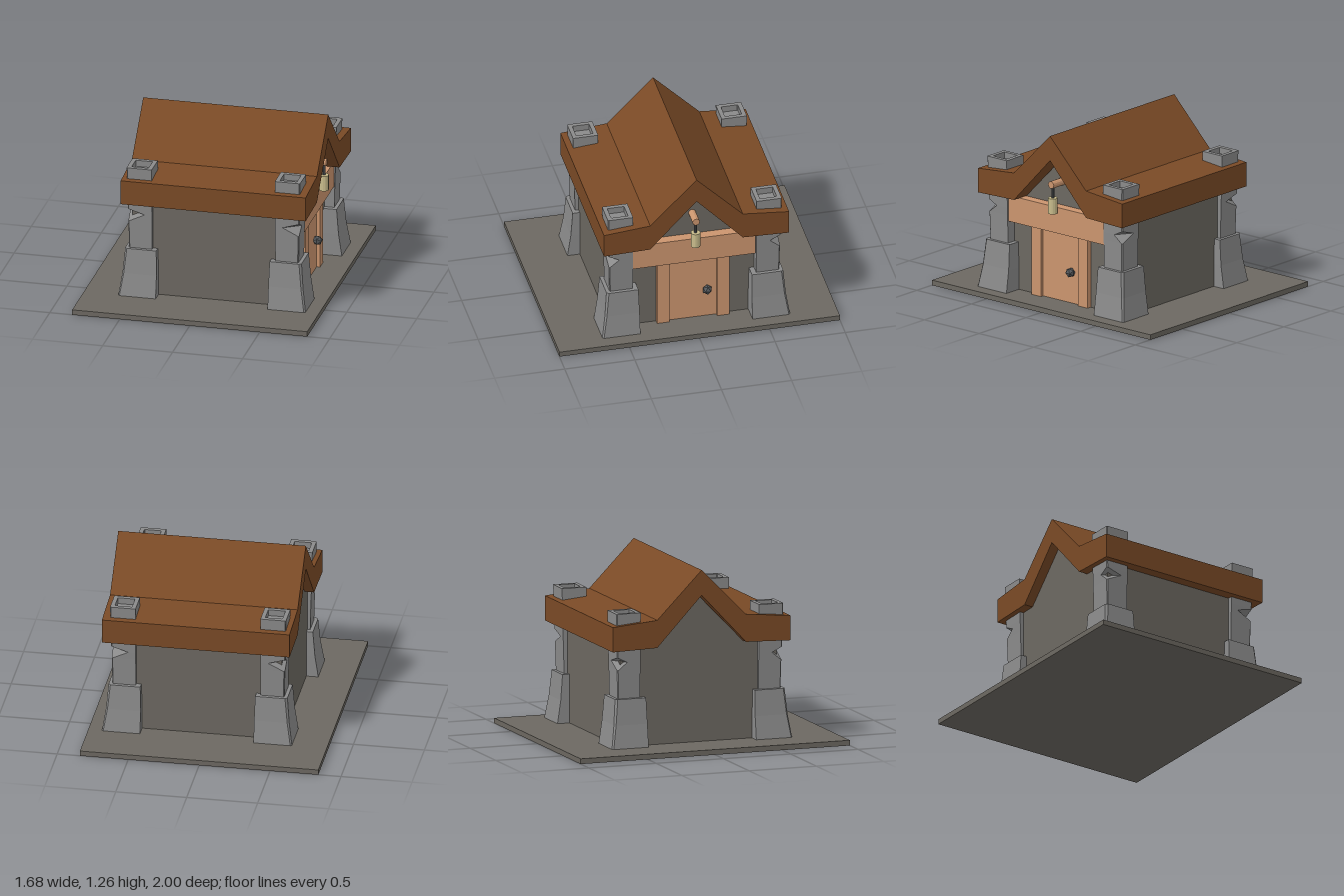
import * as THREE from 'three';

const paint = (color) => new THREE.MeshStandardMaterial({ color, flatShading: true });
const STONE = paint(0x8a8a8a), WALL = paint(0x6c6861), ROOF = paint(0x7a4a26);
const WOOD = paint(0xcb956e), BRASS = paint(0xc9bd8c), IRON = paint(0x55595c);

function add(group, name, geometry, material, x = 0, y = 0, z = 0) {
  const mesh = new THREE.Mesh(geometry, material);
  mesh.name = name;
  mesh.position.set(x, y, z);
  group.add(mesh);
  return mesh;
}

// Box given by its minimum and maximum corners
function block(group, name, material, [x0, y0, z0], [x1, y1, z1]) {
  return add(group, name, new THREE.BoxGeometry(x1 - x0, y1 - y0, z1 - z0), material,
    (x0 + x1) / 2, (y0 + y1) / 2, (z0 + z1) / 2);
}

// Symmetric (z, y) profile extruded along x from x0 to x1
function alongX(points, x0, x1) {
  const shape = new THREE.Shape(points.map(([z, y]) => new THREE.Vector2(z, y)));
  const geo = new THREE.ExtrudeGeometry(shape, { depth: x1 - x0, bevelEnabled: false });
  return geo.rotateY(Math.PI / 2).translate(x0, 0, 0);
}

// Skin over stacked rings of [x, y, z] points, closed at both ends
function loft(rings, flip) {
  const n = rings[0].length, pos = [], index = [];
  const tri = (a, b, c) => (flip ? index.push(a, c, b) : index.push(a, b, c));
  rings.forEach((ring) => ring.forEach((p) => pos.push(...p)));
  for (let r = 0; r < rings.length - 1; r++) {
    for (let i = 0; i < n; i++) {
      const a = r * n + i, b = r * n + (i + 1) % n;
      tri(a, a + n, b);
      tri(b, a + n, b + n);
    }
  }
  const last = (rings.length - 1) * n;
  for (let i = 1; i < n - 1; i++) {
    tri(0, i, i + 1);
    tri(last, last + i + 1, last + i);
  }
  const geo = new THREE.BufferGeometry();
  geo.setAttribute('position', new THREE.Float32BufferAttribute(pos, 3));
  geo.setIndex(index);
  const flat = geo.toNonIndexed();
  flat.computeVertexNormals();
  return flat;
}

// Square ring whose outer (+x, +z) corner is cut off by cx and cz
const ring = (y, inner, outer, cx, cz, sx, sz) => [
  [inner, inner], [outer, inner], [outer, outer - cz], [outer - cx, outer], [inner, outer],
].map(([x, z]) => [x * sx, y, z * sz]);

function createPillar(sx, sz) {
  const pillar = new THREE.Group();
  const flip = sx * sz < 0;
  const make = (rows) => loft(rows.map((r) => ring(...r, sx, sz)), flip);
  // Flared foot: y, inner, outer, corner cuts
  add(pillar, 'pillarFoot', make([
    [0.03, -0.13, 0.14, 0.01, 0.01],
    [0.2, -0.13, 0.115, 0.012, 0.012],
    [0.38, -0.125, 0.1, 0.015, 0.015],
  ]), STONE);
  // Shaft with a chipped corner and a hollow top
  add(pillar, 'pillarShaft', make([
    [0.37, -0.09, 0.075, 0.006, 0.006],
    [0.58, -0.09, 0.08, 0.006, 0.006],
    [0.635, -0.09, 0.082, 0.12, 0.075],
    [0.67, -0.09, 0.083, 0.006, 0.006],
    [0.98, -0.09, 0.09, 0.006, 0.006],
    [0.98, -0.06, 0.06, 0.006, 0.006],
    [0.935, -0.06, 0.06, 0.006, 0.006],
  ]), STONE);
  return pillar;
}

export function createModel() {
  const model = new THREE.Group();
  model.name = 'stoneHut';

  block(model, 'groundSlab', WALL, [-0.84, 0, -1], [0.84, 0.037, 1]);

  // Walls with gable ends
  add(model, 'walls', alongX([
    [-0.58, 0.03], [0.58, 0.03], [0.58, 0.735], [0.325, 0.735],
    [0, 1.07], [-0.325, 0.735], [-0.58, 0.735],
  ], -0.51, 0.61), WALL);

  // Folded roof: steep middle, nearly flat eaves
  add(model, 'roof', alongX([
    [-0.66, 0.72], [-0.33, 0.73], [0, 1.08], [0.33, 0.73], [0.66, 0.72],
    [0.66, 0.895], [0.33, 0.925], [0, 1.258], [-0.33, 0.925], [-0.66, 0.895],
  ], -0.577, 0.745), ROOF);

  // Corner pillars
  for (const sx of [-1, 1]) {
    for (const sz of [-1, 1]) {
      const pillar = createPillar(sx, sz);
      pillar.name = 'cornerPillar';
      pillar.position.set(0.075 + sx * 0.53, 0, sz * 0.53);
      model.add(pillar);
    }
  }

  // Doorway
  block(model, 'door', WOOD, [0.58, 0.035, -0.175], [0.62, 0.54, 0.175]);
  for (const s of [-1, 1]) {
    const jamb = block(model, 'doorJamb', WOOD, [0.58, 0.035, 0.17], [0.645, 0.54, 0.257]);
    jamb.position.z *= s;
  }
  block(model, 'lintel', WOOD, [0.58, 0.54, -0.437], [0.68, 0.728, 0.437]);
  add(model, 'doorKnob', new THREE.IcosahedronGeometry(0.036, 0), IRON, 0.645, 0.265, -0.1);

  // Hanging lantern
  add(model, 'lanternPeg', new THREE.CylinderGeometry(0.026, 0.026, 0.13, 12).rotateZ(Math.PI / 2),
    WOOD, 0.67, 0.9, 0);
  add(model, 'lanternCord', new THREE.CylinderGeometry(0.01, 0.01, 0.1, 8), IRON, 0.715, 0.845, 0);
  add(model, 'lantern', new THREE.CylinderGeometry(0.033, 0.033, 0.112, 16), BRASS, 0.715, 0.748, 0);

  return model;
}
